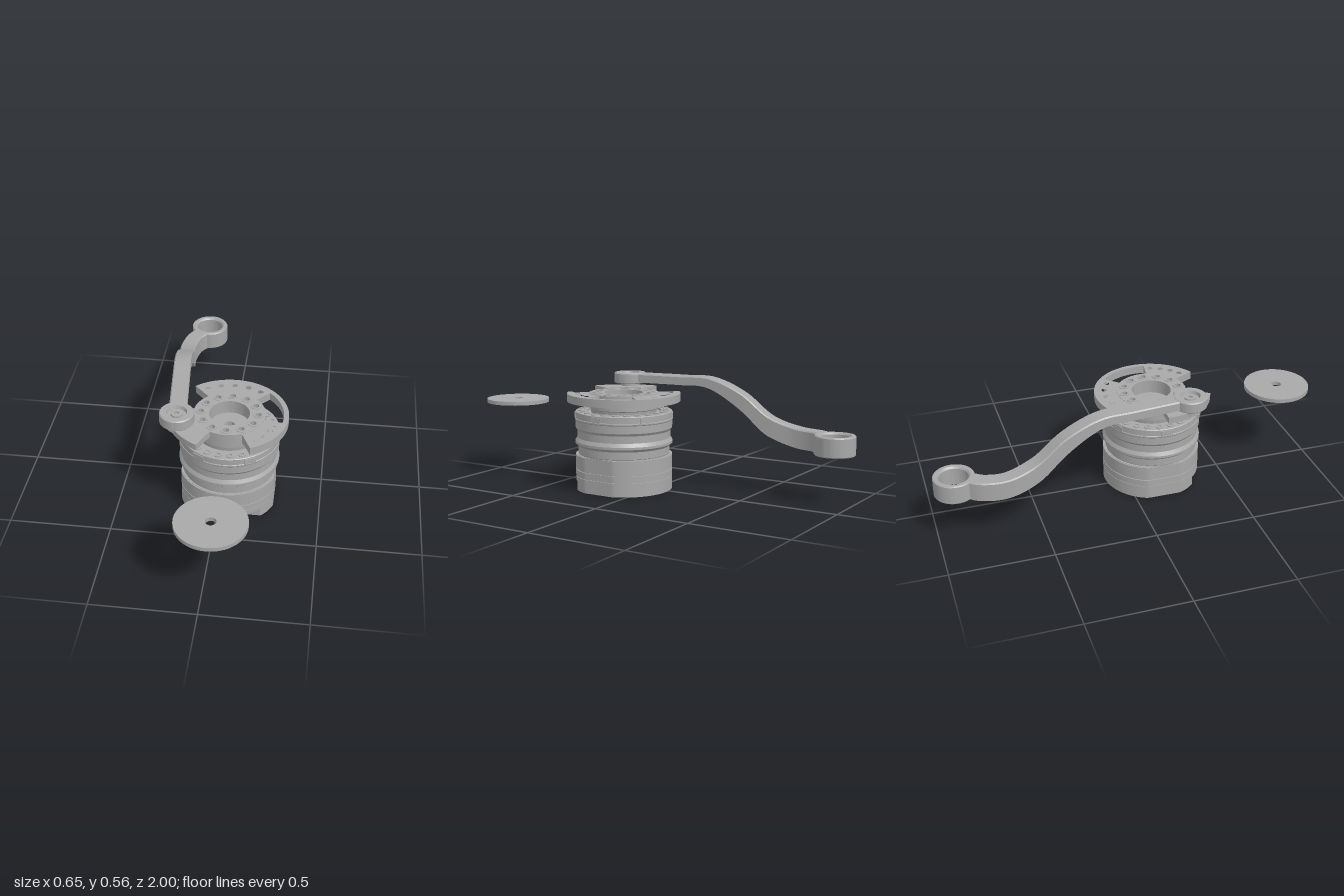
import * as THREE from 'three';
import { toCreasedNormals } from 'three/addons/utils/BufferGeometryUtils.js';

const metal = new THREE.MeshStandardMaterial({ color: 0xa8a8a8 });
metal.name = 'grey metal';

const rad = THREE.MathUtils.degToRad;
// Angles run clockwise seen from above, starting at the back (-z).
const polar = (deg, r) => [r * Math.sin(rad(deg)), r * Math.cos(rad(deg))];

function add(parent, name, geometry, x = 0, y = 0, z = 0) {
  const mesh = new THREE.Mesh(geometry, metal);
  mesh.name = name;
  mesh.position.set(x, y, z);
  parent.add(mesh);
  return mesh;
}

// Shape in plan view extruded upwards from y0 to y1.
function slab(shape, y0, y1) {
  const g = new THREE.ExtrudeGeometry(shape, { depth: y1 - y0, bevelEnabled: false, curveSegments: 32 });
  g.rotateX(-Math.PI / 2).translate(0, y0, 0);
  return toCreasedNormals(g, 0.5);
}

function lathe(points) {
  const g = new THREE.LatheGeometry(points.map(p => new THREE.Vector2(...p)), 72);
  return toCreasedNormals(g, 0.4);
}

function addHole(shape, x, y, r) {
  shape.holes.push(new THREE.Path().absarc(x, y, r, 0, Math.PI * 2, true));
}

// Round case outline cut by side flats, and optionally by a front flat.
function caseOutline(r, flat, front) {
  const pts = [];
  for (let i = 0; i < 120; i++) {
    const [x, y] = polar(-i * 3, r);
    pts.push(new THREE.Vector2(THREE.MathUtils.clamp(x, -flat, flat), Math.max(y, -front)));
  }
  const shape = new THREE.Shape(pts);
  addHole(shape, 0, 0, 0.025);
  return shape;
}

function sector(a0, a1, r0, r1, holeAngles = [], holeR = 0.235) {
  const pts = [], n = 40;
  for (let i = 0; i <= n; i++) pts.push(new THREE.Vector2(...polar(a0 + (a1 - a0) * i / n, r1)));
  for (let i = n; i >= 0; i--) pts.push(new THREE.Vector2(...polar(a0 + (a1 - a0) * i / n, r0)));
  const shape = new THREE.Shape(pts);
  holeAngles.forEach(a => addHole(shape, ...polar(a, holeR), 0.014));
  return shape;
}

function washer(outer, inner, height) {
  const s = new THREE.Shape().absarc(0, 0, outer, 0, Math.PI * 2, false);
  addHole(s, 0, 0, inner);
  return slab(s, 0, height);
}

function buildMotor() {
  const motor = new THREE.Group();
  motor.name = 'motor';
  motor.position.set(0.04, 0, 0.145);

  // Lower case: stacked bands with fine seams
  const base = caseOutline(0.245, 0.23, 0.17);
  for (const [r, n] of [[0.21, 4]]) {
    for (let i = 0; i < n; i++) addHole(base, ...polar(45 + i * 90, r), 0.013);
  }
  add(motor, 'baseStep', slab(base, 0, 0.045));
  for (const [y0, y1] of [[0.045, 0.068], [0.07, 0.103], [0.107, 0.178]]) {
    add(motor, 'lowerCase', slab(caseOutline(0.245, 0.23, 1), y0, y1));
  }
  add(motor, 'caseSeam', slab(caseOutline(0.239, 0.225, 1), 0.05, 0.18));

  // Upper case with ribs and grooves
  add(motor, 'upperCase', lathe([
    [0.025, 0.176], [0.23, 0.176], [0.23, 0.183], [0.232, 0.185], [0.232, 0.222], [0.247, 0.236],
    [0.247, 0.248], [0.236, 0.266], [0.236, 0.302], [0.245, 0.315], [0.245, 0.353], [0.248, 0.357],
    [0.248, 0.363], [0.245, 0.365], [0.245, 0.395], [0.242, 0.398], [0.19, 0.398], [0.19, 0.388],
    [0.025, 0.388], [0.025, 0.176],
  ]));
  for (let i = 0; i < 6; i++) {
    const a = 30 + i * 60, [x, y] = polar(a, 0.232);
    const tab = add(motor, 'rimTab', new THREE.BoxGeometry(0.06, 0.025, 0.034), x, 0.377, -y);
    tab.rotation.y = -rad(a);
  }
  for (let i = 0; i < 24; i++) {
    const [x, y] = polar(7.5 + i * 15, 0.216);
    add(motor, 'rimScrew', washer(0.018, 0.009, 0.006), x, 0.397, -y);
  }

  // Rotating hub with a central well
  add(motor, 'hub', lathe([
    [0.025, 0.388], [0.165, 0.388], [0.168, 0.409], [0.175, 0.413], [0.175, 0.455],
    [0.098, 0.455], [0.098, 0.42], [0.025, 0.42], [0.025, 0.388],
  ]));
  const top = new THREE.Shape().absarc(0, 0, 0.175, 0, Math.PI * 2, false);
  addHole(top, 0, 0, 0.098);
  for (let i = 0; i < 12; i++) {
    const [x, y] = polar(i * 30, 0.14);
    addHole(top, x, y, 0.015);
    add(motor, 'hubBoss', washer(0.025, 0.015, 0.004), x, 0.488, -y);
  }
  add(motor, 'hubTop', slab(top, 0.455, 0.489));

  // Slotted flange and crank lug
  add(motor, 'flangeRing', slab(sector(-43, 154, 0.262, 0.286), 0.447, 0.487));
  add(motor, 'flangeBack', slab(sector(-43, 43, 0.172, 0.262, [-34, -17, 0, 17, 34]), 0.447, 0.487));
  add(motor, 'flangeSide', slab(sector(100, 154, 0.172, 0.262, [107, 120, 133, 146]), 0.447, 0.487));
  add(motor, 'flangeStep', slab(sector(100, 154, 0.17, 0.2), 0.437, 0.447));
  add(motor, 'crankLug', slab(sector(205, 272, 0.172, 0.296), 0.46, 0.492));

  // Front sockets
  for (const x of [-0.09, 0.013]) {
    add(motor, 'socketKey', new THREE.BoxGeometry(0.02, 0.027, 0.006), x + 0.01, 0.024, 0.171);
    const s = new THREE.Shape();
    s.moveTo(0.058, -0.0135).lineTo(0.058, 0.0135).lineTo(0.014, 0.0135);
    s.absarc(0.014, 0, 0.0135, Math.PI / 2, Math.PI * 1.5, false);
    const g = new THREE.ExtrudeGeometry(s, { depth: 0.005, bevelEnabled: false });
    add(motor, 'socket', g, x + 0.023, 0.024, 0.169);
  }
  return motor;
}

// Curved arm: channel section lofted along a path, ribs closing the channel
function armGeometry() {
  const path = new THREE.CatmullRomCurve3([
    [-0.2, 0.56, 0.2], [-0.225, 0.56, -0.05], [-0.24, 0.557, -0.21], [-0.255, 0.49, -0.38],
    [-0.27, 0.38, -0.53], [-0.285, 0.335, -0.67], [-0.265, 0.33, -0.78], [-0.235, 0.33, -0.825],
  ].map(p => new THREE.Vector3(...p)));
  const n = 80, pos = [], index = [], w = 0.042, wall = 0.014, c = 0.006, k = 10;
  for (let i = 0; i <= n; i++) {
    const p = path.getPointAt(i / n), t = path.getTangentAt(i / n);
    const len = Math.hypot(t.x, t.z), nx = -t.z / len, nz = t.x / len;
    const thick = 0.046 + 0.049 * THREE.MathUtils.smoothstep(-p.z, 0.12, 0.5);
    const pocket = i < 6 || i > 72 || i % 18 < 3 ? 0.001 : thick * 0.65;
    const b = p.y - thick, h = w - wall;
    const section = [[w, b], [w, p.y - c], [w - c, p.y], [c - w, p.y], [-w, p.y - c], [-w, b],
      [-h, b], [-h, b + pocket], [h, b + pocket], [h, b]];
    for (const [o, y] of section) pos.push(p.x + nx * o, y, p.z + nz * o);
    for (let j = 0; i < n && j < k; j++) {
      const a = i * k + j, d = i * k + (j + 1) % k;
      index.push(a, a + k, d, d, a + k, d + k);
    }
  }
  const g = new THREE.BufferGeometry();
  g.setAttribute('position', new THREE.Float32BufferAttribute(pos, 3));
  g.setIndex(index);
  return toCreasedNormals(g, 0.5);
}

function buildCrank() {
  const crank = new THREE.Group();
  crank.name = 'crank';
  add(crank, 'arm', armGeometry());
  add(crank, 'pivotBoss', lathe([
    [0.001, 0.507], [0.079, 0.507], [0.083, 0.511], [0.083, 0.557], [0.078, 0.562],
    [0.05, 0.562], [0.045, 0.545], [0.001, 0.545],
  ]), -0.197, 0, 0.263);
  add(crank, 'pivotScrew', washer(0.028, 0.012, 0.01), -0.197, 0.544, 0.263);
  add(crank, 'pivotSpacer', new THREE.CylinderGeometry(0.048, 0.048, 0.04, 40), -0.197, 0.49, 0.263);
  add(crank, 'endRing', lathe([
    [0.07, 0.235], [0.096, 0.235], [0.099, 0.239], [0.099, 0.326], [0.095, 0.331],
    [0.078, 0.331], [0.07, 0.322], [0.07, 0.235],
  ]), -0.197, 0, -0.9);
  return crank;
}

export function createModel() {
  const model = new THREE.Group();
  model.name = 'motorWithCrank';
  model.add(buildMotor(), buildCrank());
  // Loose disc in front of the motor
  add(model, 'disc', washer(0.166, 0.025, 0.02), 0.04, 0.39, 0.833);
  return model;
}
